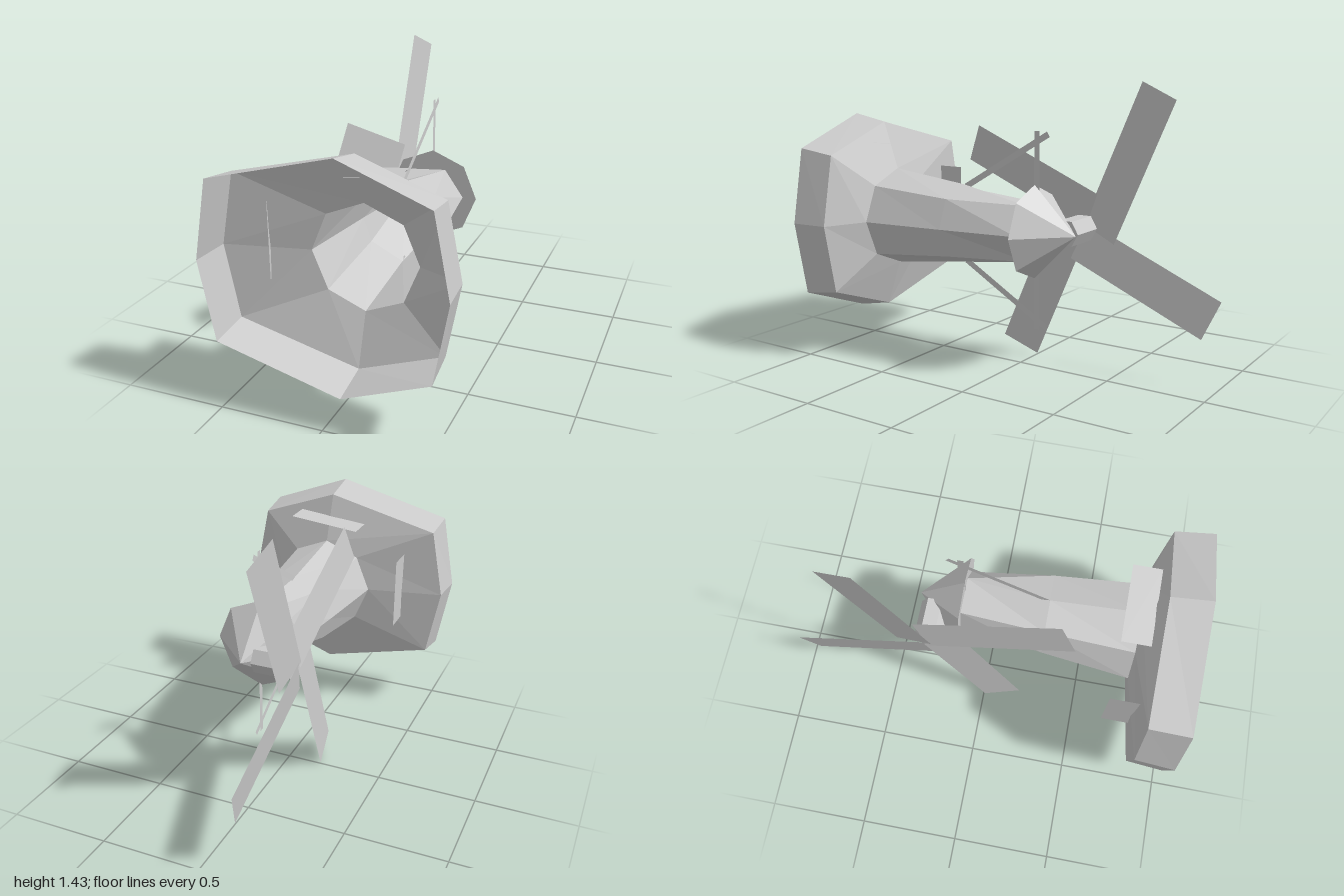
import * as THREE from 'three';

const material = new THREE.MeshStandardMaterial({
  color: 0xcccccc, flatShading: true, side: THREE.DoubleSide,
});

function addMesh(parent, name, geometry) {
  const mesh = new THREE.Mesh(geometry, material);
  mesh.name = name;
  parent.add(mesh);
  return mesh;
}

// Skin between consecutive rings of eight [x, y] points, each at its own z
function loft(rings) {
  const pos = [], index = [], n = 8;
  for (const { z, pts } of rings) for (const [x, y] of pts) pos.push(x, y, z);
  for (let r = 0; r < rings.length - 1; r++) {
    for (let i = 0; i < n; i++) {
      const a = r * n + i, b = r * n + (i + 1) % n;
      index.push(a, a + n, b, b, a + n, b + n);
    }
  }
  const g = new THREE.BufferGeometry();
  g.setAttribute('position', new THREE.Float32BufferAttribute(pos, 3));
  g.setIndex(index);
  g.computeVertexNormals();
  return g;
}

// Flat four-cornered panel
function panel(a, b, c, d) {
  const g = new THREE.BufferGeometry();
  g.setAttribute('position', new THREE.Float32BufferAttribute([...a, ...b, ...c, ...d], 3));
  g.setIndex([0, 1, 2, 0, 2, 3]);
  g.computeVertexNormals();
  return g;
}

const CX = 0.09, CY = 0.72;

function octagon(z, radius) {
  const pts = [];
  for (let i = 0; i < 8; i++) {
    const t = i * Math.PI / 4;
    pts.push([CX + radius * Math.cos(t), CY + radius * Math.sin(t)]);
  }
  return { z, pts };
}

// Stretched octagon of the base: side, corner and ridge points, mirrored
function baseRing(z, side, cornerX, cornerY, ridgeY) {
  return { z, pts: [
    [side, CY], [cornerX, CY + cornerY], [CX, CY + ridgeY], [-cornerX, CY + cornerY],
    [-side, CY], [-cornerX, CY - cornerY], [CX, CY - ridgeY], [cornerX, CY - cornerY],
  ] };
}

// Thin flat bar in the plane x = CX, between two [z, y] points
function bar(parent, name, [z0, y0], [z1, y1], width = 0.03) {
  const dz = z1 - z0, dy = y1 - y0, len = Math.hypot(dz, dy);
  const oz = -dy / len * width / 2, oy = dz / len * width / 2;
  addMesh(parent, name, panel(
    [CX, y0 + oy, z0 + oz], [CX, y0 - oy, z0 - oz],
    [CX, y1 - oy, z1 - oz], [CX, y1 + oy, z1 + oz]));
}

export function createModel() {
  const model = new THREE.Group();
  model.name = 'windmill';

  // Hollow body: base, roof slope, tapering tower
  const waist = octagon(0.72, 0.253);
  const middle = { z: 0.28, pts: [
    [0.3, 0.72], [0.245, 0.865], [0.09, 0.92], [-0.06, 0.87],
    [-0.11, 0.715], [-0.07, 0.6], [0.09, 0.52], [0.24, 0.575],
  ] };
  const neck = { z: -0.14, pts: [
    [0.25, 0.72], [0.155, 0.855], [0.155, 0.855], [-0.025, 0.84],
    [-0.05, 0.71], [-0.05, 0.71], [0.145, 0.58], [0.145, 0.58],
  ] };
  addMesh(model, 'base', loft([
    baseRing(1, 0.57, 0.5, 0.377, 0.533),
    baseRing(0.805, 0.557, 0.49, 0.35, 0.495),
    waist,
  ]));
  addMesh(model, 'tower', loft([waist, middle, neck]));

  // Pointed cap with a flat eave
  addMesh(model, 'cap', loft([neck, octagon(-0.14, 0.23), octagon(-0.37, 0)]));

  // Sail shaft
  const shaft = addMesh(model, 'sailShaft', new THREE.CylinderGeometry(0.07, 0.07, 0.19, 6));
  shaft.rotation.z = Math.PI / 2;
  shaft.position.set(-0.05, CY, -0.285);

  // Four pitched sails, set to one side of their spokes
  const sails = new THREE.Group();
  sails.name = 'sails';
  model.add(sails);
  let dir = [-0.397, 0.918];
  for (let i = 0; i < 4; i++) {
    const across = [-dir[1], dir[0]];
    const corner = (along, w, x) => [
      x, 0.724 + along * dir[1] + w * across[1], -0.28 + along * dir[0] + w * across[0],
    ];
    addMesh(sails, 'sail', panel(
      corner(0, -0.02, -0.175), corner(0, 0.184, -0.145),
      corner(0.772, 0.184, -0.145), corner(0.772, -0.02, -0.175)));
    dir = across;
  }

  // Bars and braces above and below the tower
  for (const s of [1, -1]) {
    bar(model, 'crossBar', [-0.152, CY + s * 0.13], [-0.152, CY + s * 0.488]);
    bar(model, 'brace', [0.27, CY + s * 0.19], [-0.215, CY + s * 0.475]);
  }

  // Canopies standing out of the roof slope
  addMesh(model, 'upperCanopy', panel(
    [-0.11, 1.08, 0.63], [0.26, 1.12, 0.63], [0.26, 1.12, 0.77], [-0.11, 1.08, 0.77]));
  addMesh(model, 'sideCanopy', panel(
    [-0.345, 0.57, 0.63], [-0.345, 0.94, 0.63], [-0.345, 0.94, 0.775], [-0.345, 0.57, 0.775]));

  return model;
}
